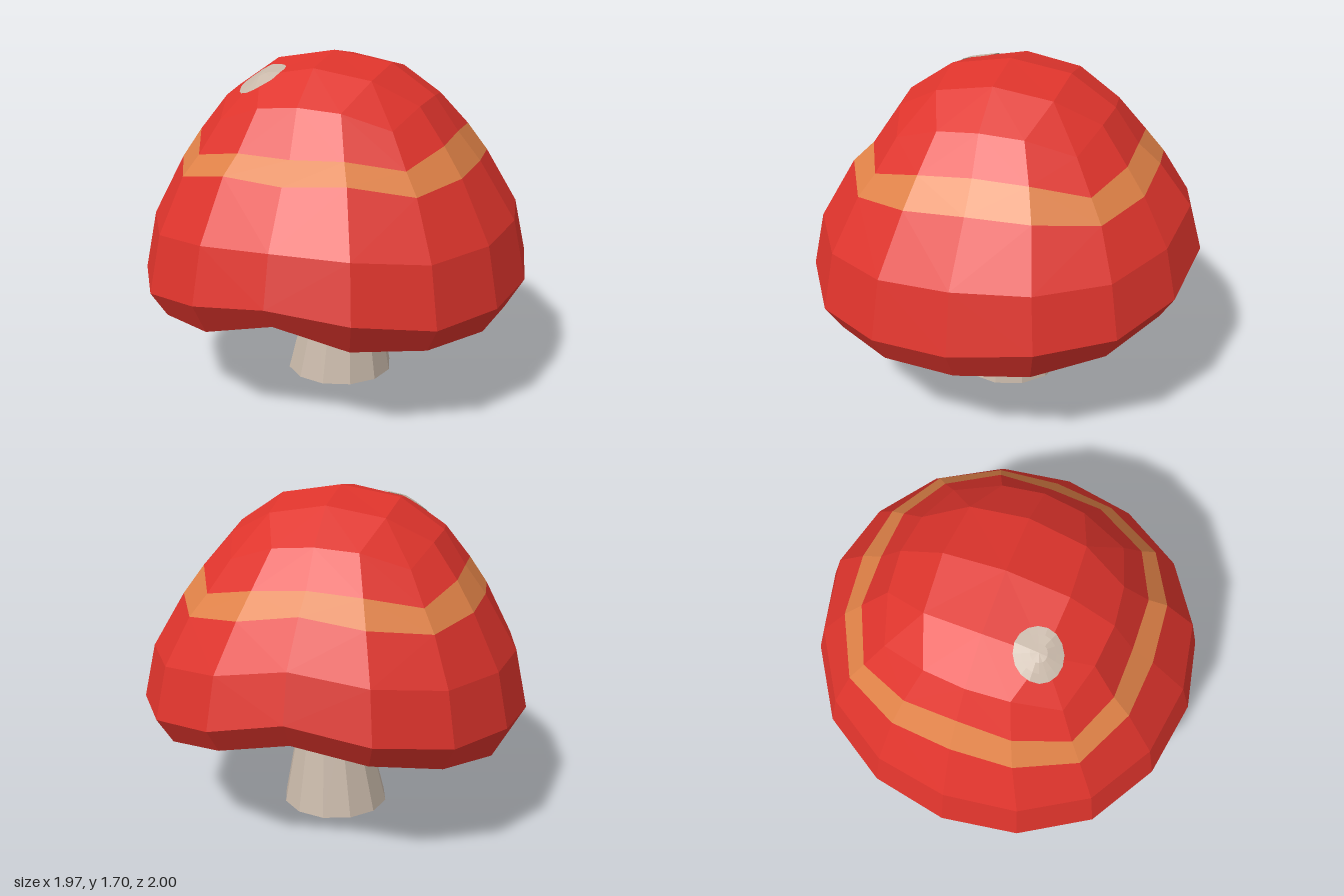
import * as THREE from 'three';

const SIDES = 16;

// Ring of points from front (+z) round by +x. radii: [mid, quarter, corner]; ys: front-to-back, mirrored in x.
function capRing(radii, ys, dx = 0, dz = 0) {
  const ring = [];
  for (let i = 0; i < SIDES; i++) {
    const a = (i / SIDES) * Math.PI * 2;
    const k = i % 4;
    const r = radii[k === 3 ? 1 : k];
    ring.push(new THREE.Vector3(
      Math.sin(a) * r + dx, ys[i <= 8 ? i : SIDES - i], Math.cos(a) * r * 1.015 + dz));
  }
  return ring;
}

// Skin through rings listed from top to bottom: one flat normal per quad, split along its outer diagonal.
function loft(rings) {
  const pos = [], nor = [], index = [];
  const heart = new THREE.Vector3(0, 0.6, 0);
  const reach = (p, q) => p.clone().lerp(q, 0.5).distanceTo(heart);
  for (let j = 0; j < rings.length - 1; j++) {
    const up = rings[j], low = rings[j + 1], n = up.length;
    for (let i = 0; i < n; i++) {
      const k = (i + 1) % n, b = pos.length / 3;
      const quad = [low[i], low[k], up[k], up[i]];
      const normal = quad[2].clone().sub(quad[0]).cross(quad[3].clone().sub(quad[1])).normalize();
      for (const p of quad) {
        pos.push(p.x, p.y, p.z);
        nor.push(normal.x, normal.y, normal.z);
      }
      if (reach(quad[0], quad[2]) >= reach(quad[1], quad[3])) index.push(b, b + 1, b + 2, b, b + 2, b + 3);
      else index.push(b, b + 1, b + 3, b + 1, b + 2, b + 3);
    }
  }
  const g = new THREE.BufferGeometry();
  g.setAttribute('position', new THREE.Float32BufferAttribute(pos, 3));
  g.setAttribute('normal', new THREE.Float32BufferAttribute(nor, 3));
  g.setIndex(index);
  return g;
}

export function createModel() {
  const group = new THREE.Group();
  const mat = (name, color, side = THREE.FrontSide) => new THREE.MeshStandardMaterial({ name, color, side });
  const red = mat('capRed', 0xdf342c);
  const orange = mat('bandOrange', 0xdf8147);
  const stone = mat('stemGrey', 0xc8b8a9, THREE.DoubleSide);
  const add = (name, geometry, material) => {
    const m = new THREE.Mesh(geometry, material);
    m.name = name;
    group.add(m);
    return m;
  };
  const level = (mid, quarter, corner) =>
    [mid, quarter, corner, quarter, mid, quarter, corner, quarter, mid];

  // Cap rings, squarish near the top and wavy at the rim
  const apex = capRing([0, 0, 0], level(1.7, 1.7, 1.7), -0.02, -0.01);
  const square = capRing([0.3, 0.4, 0.4], level(1.65, 1.6, 1.6), -0.02, -0.01);
  // The crown is a square of eight points, so quarters join the corners
  const crown = square.map((p, i) => (i % 2 ? square[i % 4 === 1 ? i + 1 : i - 1] : p));
  const shoulder = capRing([0.52, 0.54, 0.61], level(1.5, 1.48, 1.4), -0.02, -0.01);
  const bandTop = capRing([0.635, 0.68, 0.73], [1.28, 1.29, 1.24, 1.31, 1.33, 1.32, 1.25, 1.31, 1.33], -0.015, -0.015);
  const bandLow = capRing([0.745, 0.78, 0.82], [1.18, 1.2, 1.14, 1.17, 1.19, 1.18, 1.15, 1.19, 1.24], -0.01, -0.015);
  const skirt = capRing([0.92, 0.935, 0.95], [0.93, 0.91, 0.87, 0.88, 0.905, 0.91, 0.92, 0.97, 1.04]);
  const rim = capRing([0.985, 0.995, 1.01], [0.69, 0.635, 0.58, 0.585, 0.605, 0.64, 0.66, 0.72, 0.815]);
  const lip = capRing([0.89, 0.92, 0.93], [0.575, 0.485, 0.455, 0.45, 0.445, 0.48, 0.53, 0.6, 0.68]);
  const hollow = capRing([0.48, 0.5, 0.5], [0.71, 0.69, 0.68, 0.67, 0.66, 0.66, 0.69, 0.71, 0.73]);
  const gill = capRing([0.1, 0.1, 0.1], level(0.73, 0.73, 0.73));

  const capTop = add('capTop', loft([apex, crown, shoulder, bandTop]), red);
  add('capBand', loft([bandTop, bandLow]), orange);
  add('capSkirt', loft([bandLow, skirt, rim, lip]), red);
  add('capUnderside', loft([lip, hollow, gill]), red);

  // Spot laid over the crown facets
  const ray = new THREE.Raycaster();
  const down = new THREE.Vector3(0, -1, 0);
  const spotRing = (r) => Array.from({ length: 16 }, (_, i) => {
    const a = (i / 16) * Math.PI * 2;
    const x = -0.3 + Math.sin(a) * r, z = 0.25 + Math.cos(a) * r;
    ray.set(new THREE.Vector3(x, 3, z), down);
    return new THREE.Vector3(x, ray.intersectObject(capTop)[0].point.y + 0.007, z);
  });
  add('capSpot', loft([0, 0.04, 0.08, 0.115].map(spotRing)), stone);

  // Tapered, slightly leaning stem, open at the base
  const stemRing = (r, y, x, z) => Array.from({ length: 12 }, (_, i) => {
    const a = (i / 12) * Math.PI * 2;
    return new THREE.Vector3(x + Math.sin(a) * r, y, z + Math.cos(a) * r);
  });
  add('stem', loft([
    stemRing(0.13, 0.77, -0.01, 0.015),
    stemRing(0.18, 0.45, 0.025, -0.015),
    stemRing(0.278, 0, 0.008, -0.015),
  ]), stone);

  return group;
}
